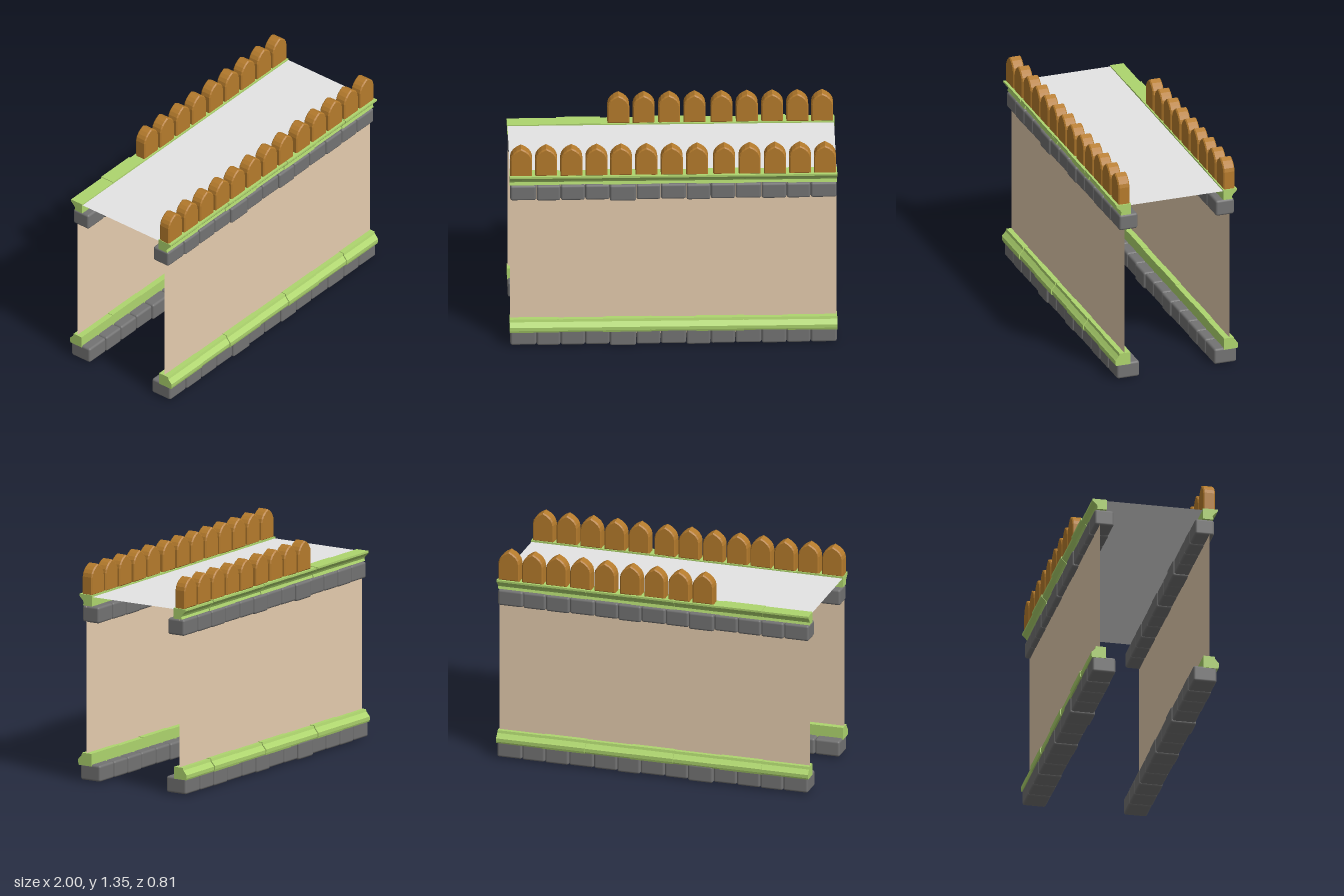
import * as THREE from 'three';
import { RoundedBoxGeometry } from 'three/addons/geometries/RoundedBoxGeometry.js';

const mat = (name, color, side = THREE.FrontSide) => {
  const m = new THREE.MeshStandardMaterial({ color, side });
  m.name = name;
  return m;
};

// Breaks along the length for stones and trim, and fence board centres
const stoneX = [-0.998, -0.837, -0.69, -0.54, -0.39, -0.227, -0.078, 0.078, 0.227, 0.377, 0.537, 0.69, 0.837, 0.998];
const trimX = [-1, -0.7, -0.43, -0.135, 0.14, 0.43, 0.7, 1];
const boardX = [-0.93, -0.777, -0.623, -0.47, -0.32, -0.165, -0.01, 0.145, 0.31, 0.465, 0.62, 0.773, 0.925];

// Trim cross-sections as [z, y]: the upper flares upward, the lower downward
const upperTrim = [[0.3, 1.096], [0.361, 1.096], [0.356, 1.112], [0.364, 1.126], [0.384, 1.145], [0.388, 1.15], [0.388, 1.162], [0.3, 1.162]];
const lowerTrim = [[0.305, 0.095], [0.392, 0.095], [0.396, 0.105], [0.397, 0.127], [0.389, 0.135], [0.372, 0.154], [0.368, 0.17], [0.305, 0.17]];

export function createModel() {
  const group = new THREE.Group();
  const stone = mat('grey stone', 0x737373);
  const green = mat('green trim', 0xaed56e);
  const wood = mat('brown wood', 0xb57b2c);
  const plaster = mat('tan wall', 0xe5ccae, THREE.DoubleSide);
  const roof = mat('light grey deck', 0xe4e4e4, THREE.DoubleSide);

  const add = (name, geometry, material, parent = group) => {
    const mesh = new THREE.Mesh(geometry, material);
    mesh.name = name;
    parent.add(mesh);
    return mesh;
  };

  // Row of rounded stones; a few stand out from the rest
  function stoneRow(parent, side, y, z, depth) {
    for (let i = 0; i < stoneX.length - 1; i++) {
      const grow = i === 4 ? 0.014 : i === 7 ? 0.009 : (i * 5 % 3) * 0.002;
      const w = stoneX[i + 1] - stoneX[i] - 0.002;
      const geo = new RoundedBoxGeometry(w, 0.102 + grow * 0.5, depth + grow, 2, 0.014);
      add('stone', geo, stone, parent)
        .position.set((stoneX[i] + stoneX[i + 1]) / 2, y - grow * 0.25, side * z);
    }
  }

  // Row of trim lengths, alternately a touch larger
  function trimRow(parent, side, profile, parity) {
    for (let i = 0; i < trimX.length - 1; i++) {
      const grow = i % 2 === parity ? 0.006 : 0;
      const shape = new THREE.Shape(profile.map(([z, y]) =>
        new THREE.Vector2(side * (z + (z > 0.32 ? grow : 0)), y + (y > profile[0][1] ? grow * 0.6 : 0))));
      const geo = new THREE.ExtrudeGeometry(shape, { depth: trimX[i + 1] - trimX[i], bevelEnabled: false });
      geo.rotateY(-Math.PI / 2);
      geo.translate(trimX[i + 1], 0, 0);
      add('trim', geo, green, parent);
    }
  }

  // Pointed-arch fence board with a small bevel
  const b = 0.007, hw = 0.067 - b, thick = 0.074;
  const arch = new THREE.Shape();
  arch.moveTo(-hw, 0);
  arch.lineTo(hw, 0);
  arch.lineTo(hw, 0.105);
  arch.quadraticCurveTo(hw - 0.004, 0.15, 0, 0.174);
  arch.quadraticCurveTo(-hw + 0.004, 0.15, -hw, 0.105);
  const boardGeo = new THREE.ExtrudeGeometry(arch, {
    depth: thick - 2 * b, bevelEnabled: true, bevelThickness: b, bevelSize: b, bevelSegments: 1, curveSegments: 4
  });
  boardGeo.translate(0, 0, b - thick / 2);

  for (const side of [1, -1]) {
    const half = new THREE.Group();
    half.name = side > 0 ? 'frontSide' : 'backSide';
    group.add(half);
    const parity = side > 0 ? 0 : 1;
    stoneRow(half, side, 0.054, 0.316, 0.146);
    stoneRow(half, side, 1.043, 0.314, 0.12);
    trimRow(half, side, lowerTrim, parity);
    trimRow(half, side, upperTrim, parity);

    const wall = add('wall', new THREE.PlaneGeometry(1.992, 1.1), plaster, half);
    wall.position.set(0, 0.605, side * 0.342);
    if (side < 0) wall.rotation.y = Math.PI;

    // The back fence leaves a gap at one end
    boardX.slice(side > 0 ? 0 : 4).forEach(x =>
      add('fenceBoard', boardGeo, wood, half).position.set(x, 1.168, side * 0.342));
  }

  // Flat deck between the two sides
  const deck = add('deck', new THREE.PlaneGeometry(1.994, 0.68), roof);
  deck.rotation.x = -Math.PI / 2;
  deck.position.y = 1.155;

  return group;
}
